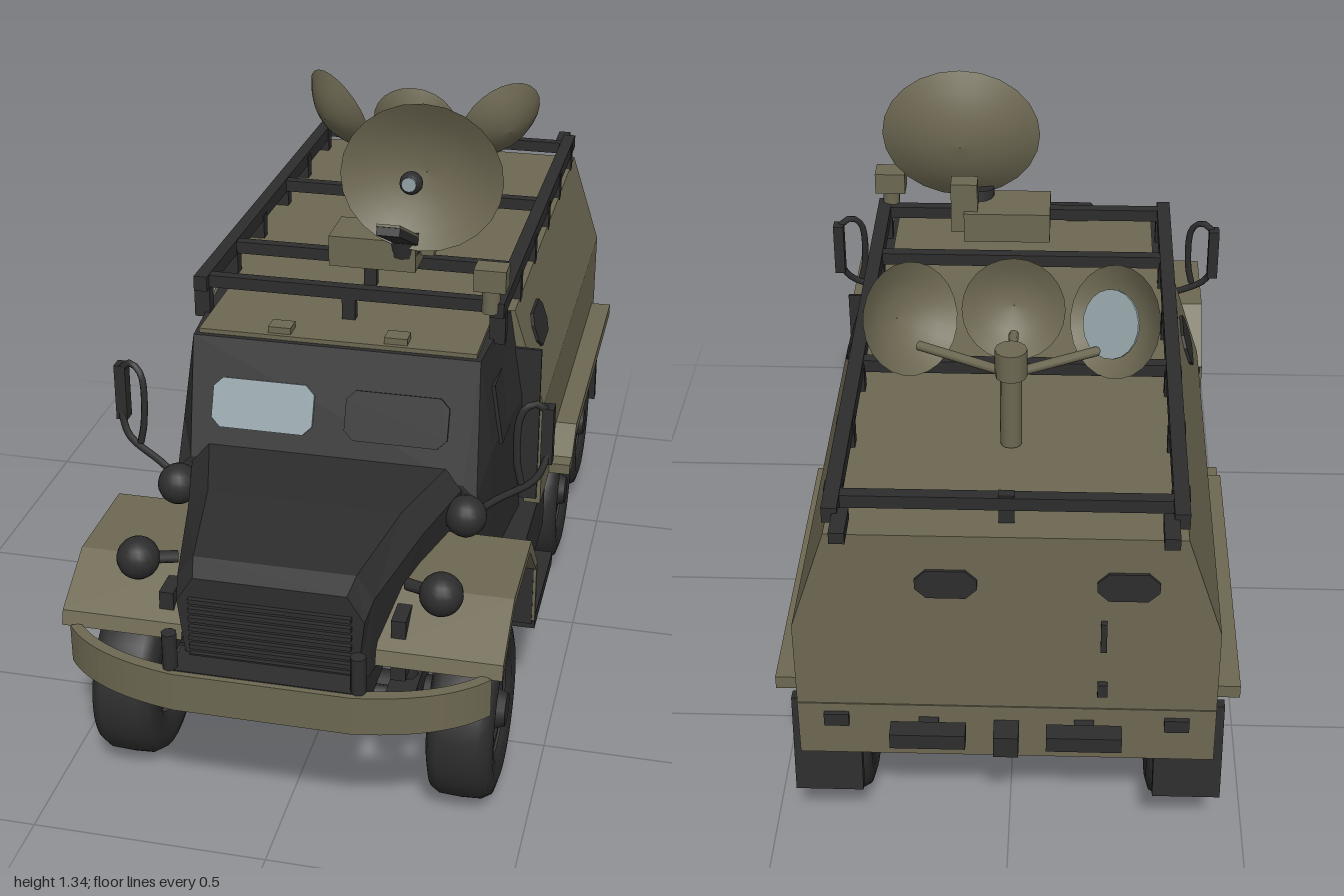
import * as THREE from 'three';

const mat = (name, color) => {
  const m = new THREE.MeshStandardMaterial({ color, side: THREE.DoubleSide });
  m.name = name;
  return m;
};

export function createModel() {
  const model = new THREE.Group();
  model.name = 'armouredTruck';
  const green = mat('olive', 0x6d6852);
  const dark = mat('charcoal', 0x2d2d2d);
  const glass = mat('paleGlass', 0x93a3a8);
  const V = (x, y, z) => new THREE.Vector3(x, y, z);

  const add = (name, geo, m, x = 0, y = 0, z = 0) => {
    const mesh = new THREE.Mesh(geo, m);
    mesh.name = name;
    mesh.position.set(x, y, z);
    model.add(mesh);
    return mesh;
  };
  const box = (name, m, w, h, d, x, y, z) => add(name, new THREE.BoxGeometry(w, h, d), m, x, y, z);
  // Straight bar between two points
  const rod = (name, m, a, b, r, sides = 8) => {
    const mesh = add(name, new THREE.CylinderGeometry(r, r, a.distanceTo(b), sides), m);
    mesh.position.copy(a).add(b).multiplyScalar(0.5);
    mesh.quaternion.setFromUnitVectors(V(0, 1, 0), b.clone().sub(a).normalize());
    return mesh;
  };
  const ball = (name, m, r, x, y, z) => add(name, new THREE.SphereGeometry(r, 16, 12), m, x, y, z);
  const tube = (name, m, pts, r) =>
    add(name, new THREE.TubeGeometry(new THREE.CatmullRomCurve3(pts), 14, r, 6), m);
  // Thin plate with cut corners, facing +z
  const plate = (name, m, w, h, x, y, z, c = 0.02) => {
    const a = w / 2, b = h / 2, s = new THREE.Shape();
    s.moveTo(c - a, -b).lineTo(a - c, -b).lineTo(a, c - b).lineTo(a, b - c)
      .lineTo(a - c, b).lineTo(c - a, b).lineTo(-a, b - c).lineTo(-a, c - b);
    return add(name, new THREE.ExtrudeGeometry(s, { depth: 0.007, bevelEnabled: false }), m, x, y, z);
  };

  // Hull through mirrored half sections, ordered from front to back
  const loft = (name, m, stations) => {
    const rings = stations.map(([z, half]) => [
      ...half.map(([x, y]) => [x, y, z]),
      ...half.slice().reverse().map(([x, y]) => [-x, y, z])]);
    const p = [], n = rings[0].length;
    const tri = (...c) => c.forEach(v => p.push(...v));
    for (let s = 0; s < rings.length - 1; s++) {
      for (let i = 0; i < n; i++) {
        const a = rings[s], b = rings[s + 1], j = (i + 1) % n;
        tri(a[i], b[i], b[j]);
        tri(a[i], b[j], a[j]);
      }
    }
    const f = rings[0], e = rings[rings.length - 1];
    for (let i = 1; i < n - 1; i++) {
      tri(f[0], f[i], f[i + 1]);
      tri(e[0], e[i + 1], e[i]);
    }
    const g = new THREE.BufferGeometry();
    g.setAttribute('position', new THREE.Float32BufferAttribute(p, 3));
    g.computeVertexNormals();
    return add(name, g, m);
  };
  // Side outline in (z, y), extruded between two x values
  const sideExtrude = (name, m, pts, [x0, x1]) => {
    const g = new THREE.ExtrudeGeometry(
      new THREE.Shape(pts.map(([z, y]) => new THREE.Vector2(z, y))), { depth: x1 - x0, bevelEnabled: false });
    g.rotateY(-Math.PI / 2).translate(x1, 0, 0);
    return add(name, g, m);
  };

  // Rear crew body with inward leaning upper sides
  const hull = [[0.418, 0.44], [0.418, 0.64], [0.345, 0.867]];
  loft('crewBody', green, [[0.1, hull], [-0.935, hull]]);
  box('bodyFloor', dark, 0.8, 0.02, 0.98, 0, 0.429, -0.4);
  box('rearApron', green, 0.836, 0.13, 0.025, 0, 0.38, -0.925);
  box('bodyFrontTrim', dark, 0.07, 0.38, 0.008, 0.375, 0.59, 0.104);

  // Cab, hood and grille
  loft('cab', dark, [
    [0.47, [[0.33, 0.36], [0.33, 0.59], [0.3, 0.62]]],
    [0.37, [[0.345, 0.36], [0.345, 0.66], [0.315, 0.865]]],
    [0.1, [[0.37, 0.36], [0.37, 0.66], [0.335, 0.868]]]]);
  box('cabRoof', green, 0.61, 0.01, 0.25, 0, 0.871, 0.235);
  loft('hood', dark, [
    [0.92, [[0.175, 0.42], [0.19, 0.55], [0.155, 0.605]]],
    [0.88, [[0.19, 0.4], [0.2, 0.58], [0.165, 0.63]]],
    [0.65, [[0.23, 0.4], [0.25, 0.6], [0.205, 0.645]]],
    [0.46, [[0.28, 0.4], [0.3, 0.61], [0.26, 0.65]]]]);
  for (let i = 0; i < 7; i++) box('grilleSlat', dark, 0.33, 0.01, 0.016, 0, 0.43 + i * 0.021, 0.922);
  for (const [x, m] of [[-0.147, glass], [0.147, dark]]) {
    plate('windshieldPane', m, 0.224, 0.108, x, 0.736, 0.423).rotation.x = -0.388;
    box('roofHatch', green, 0.05, 0.025, 0.04, x * 0.87, 0.878, 0.33);
  }

  // Curved front bumper
  const bump = new THREE.Shape();
  bump.moveTo(-0.435, -0.88).quadraticCurveTo(-0.36, -0.975, -0.18, -1).lineTo(0.18, -1)
    .quadraticCurveTo(0.36, -0.975, 0.435, -0.88).lineTo(0.415, -0.87)
    .quadraticCurveTo(0.34, -0.955, 0.18, -0.975).lineTo(-0.18, -0.975)
    .quadraticCurveTo(-0.34, -0.955, -0.415, -0.87);
  add('frontBumper', new THREE.ExtrudeGeometry(bump, { depth: 0.085, bevelEnabled: false })
    .rotateX(-Math.PI / 2), green, 0, 0.345, 0);
  box('bumperBracket', dark, 0.38, 0.08, 0.085, 0, 0.392, 0.945);

  // Wheel with lathed tyre, sunken rim and hub
  const tyre = new THREE.LatheGeometry([[0.1, -0.055], [0.115, -0.066], [0.15, -0.07], [0.178, -0.062],
    [0.19, -0.042], [0.192, 0], [0.19, 0.042], [0.178, 0.062], [0.15, 0.07], [0.115, 0.066], [0.1, 0.055]]
    .map(([r, y]) => new THREE.Vector2(r, y)), 32);
  const wheel = (s, y, z, k) => {
    const w = new THREE.Group();
    w.name = 'wheel';
    const part = (name, g, h = 0) => {
      const mesh = new THREE.Mesh(g, dark);
      mesh.name = name;
      mesh.position.y = h;
      w.add(mesh);
      return mesh;
    };
    part('tyre', tyre);
    part('rim', new THREE.CylinderGeometry(0.102, 0.102, 0.08, 24));
    part('rimRing', new THREE.TorusGeometry(0.085, 0.012, 6, 24), -0.042).rotation.x = Math.PI / 2;
    part('hub', new THREE.CylinderGeometry(0.05, 0.035, 0.04, 12), -0.055);
    w.rotation.z = s * Math.PI / 2;
    w.position.set(s * 0.36, y, z);
    w.scale.set(k, 1, k);
    model.add(w);
  };

  // Running gear
  const axles = [[0.195, 0.648, 1], [0.205, -0.292, 0.935], [0.205, -0.677, 0.935]];
  for (const [y, z] of axles) {
    rod('axle', dark, V(-0.33, y + 0.02, z), V(0.33, y + 0.02, z), 0.036, 12);
    ball('differential', dark, 0.072, 0, y + 0.015, z);
  }
  rod('driveShaft', dark, V(0, 0.23, 0.6), V(0, 0.23, -0.67), 0.02);
  rod('steeringRod', dark, V(-0.28, 0.27, 0.75), V(0.28, 0.27, 0.75), 0.018);
  box('gearbox', dark, 0.2, 0.14, 0.36, 0, 0.34, 0.36);
  box('engineSump', dark, 0.3, 0.12, 0.36, 0, 0.35, 0.7);
  for (const z of [0.86, 0.1, -0.48, -0.86]) box('crossMember', dark, 0.34, 0.06, 0.04, 0, 0.36, z);

  for (const s of [-1, 1]) {
    for (const [y, z, k] of axles) wheel(s, y, z, k);
    const xs = (a, b) => (s > 0 ? [a, b] : [-b, -a]);

    // Chassis rails, springs and dampers
    box('chassisRail', dark, 0.05, 0.08, 1.82, s * 0.16, 0.36, 0.02);
    for (const [y, z] of axles) {
      box('leafSpring', dark, 0.06, 0.05, 0.3, s * 0.23, y + 0.07, z);
      rod('damper', dark, V(s * 0.25, y, z + 0.04), V(s * 0.2, 0.4, z + 0.06), 0.026);
    }

    // Front fender with a narrow rear leg and dark liner
    sideExtrude('frontFender', green, [[0.875, 0.425], [0.865, 0.455], [0.74, 0.53], [0.51, 0.53], [0.395, 0.41],
      [0.412, 0.4], [0.522, 0.508], [0.73, 0.508], [0.85, 0.435]], xs(0.2, 0.455));
    box('fenderLeg', green, 0.006, 0.14, 0.016, s * 0.453, 0.338, 0.404);
    box('wheelWellLiner', dark, 0.26, 0.15, 0.012, s * 0.32, 0.335, 0.408);
    box('innerWing', dark, 0.03, 0.14, 0.44, s * 0.24, 0.44, 0.62);
    // Step and storage box
    box('step', dark, 0.2, 0.03, 0.28, s * 0.355, 0.255, 0.26);
    box('storageBox', dark, 0.21, 0.13, 0.44, s * 0.305, 0.31, 0.17);
    // Skirt and rear wheel arch trim
    sideExtrude('bodySkirt', green,
      [[0.1, 0.385], [-0.1, 0.385], [-0.165, 0.45], [0.1, 0.45]], xs(0.38, 0.419));
    sideExtrude('rearArch', green, [[-0.05, 0.385], [-0.1, 0.385], [-0.17, 0.436], [-0.885, 0.436],
      [-0.885, 0.465], [-0.16, 0.465], [-0.09, 0.41], [-0.05, 0.41]], xs(0.39, 0.468));
    box('mudFlap', dark, 0.14, 0.23, 0.025, s * 0.37, 0.29, -0.88).rotation.x = 0.1;

    // Door window and side port
    const win = box('doorWindow', dark, 0.008, 0.14, 0.1, s * 0.345, 0.715, 0.265);
    win.rotation.z = s * 0.15;
    box('doorHandle', dark, 0.015, 0.015, 0.05, s * 0.365, 0.6, 0.15);
    const port = plate('sidePort', dark, 0.132, 0.082, s * 0.377, 0.77, -0.062, 0.022);
    port.rotation.set(-0.32, s * Math.PI / 2, 0, 'YXZ');

    // Lamps
    for (const [z, y] of [[0.515, 0.575], [0.785, 0.55]]) {
      ball('headlamp', dark, 0.045, s * 0.315, y, z);
      rod('lampStalk', dark, V(s * 0.31, y, z), V(s * 0.24, 0.545, z - 0.03), 0.013);
    }
    rod('towHook', dark, V(s * 0.19, 0.42, 0.975), V(s * 0.19, 0.51, 0.975), 0.016);

    // Mirror on bent arms
    box('mirror', dark, 0.025, 0.13, 0.03, s * 0.468, 0.735, 0.415);
    tube('mirrorArm', dark, [V(s * 0.3, 0.54, 0.48), V(s * 0.37, 0.59, 0.46), V(s * 0.45, 0.64, 0.44), V(s * 0.473, 0.7, 0.42)], 0.008);
    tube('mirrorLoop', dark, [V(s * 0.47, 0.79, 0.42), V(s * 0.44, 0.81, 0.43), V(s * 0.415, 0.79, 0.44), V(s * 0.41, 0.68, 0.45), V(s * 0.42, 0.63, 0.45)], 0.008);

    // Roof rack side
    box('rackRail', dark, 0.03, 0.034, 1.2, s * 0.33, 0.924, -0.335).rotation.x = -0.022;
    box('railEnd', dark, 0.03, 0.025, 0.08, s * 0.31, 0.903, -0.955);
    for (const z of [0.24, 0.02, -0.205, -0.43, -0.635, -0.855])
      box('rackPost', dark, 0.035, 0.07, 0.03, s * 0.33, 0.89, z);

    // Rear bumperettes and lamps
    box('rearBumperette', dark, 0.15, 0.035, 0.04, s * 0.155, 0.4, -0.975);
    box('bumperetteArm', dark, 0.04, 0.03, 0.06, s * 0.155, 0.4, -0.945);
    box('rearLamp', dark, 0.05, 0.03, 0.015, s * 0.34, 0.41, -0.94);
  }
  for (const x of [0.115, -0.235]) plate('rearPort', dark, 0.12, 0.065, x, 0.755, -0.941, 0.022);
  box('rearDoorHandle', dark, 0.012, 0.07, 0.02, -0.19, 0.635, -0.938);
  box('rearDoorLatch', dark, 0.02, 0.03, 0.02, -0.19, 0.5, -0.938);
  box('towCoupling', dark, 0.05, 0.05, 0.07, 0, 0.385, -0.955);
  for (const [z, y] of [[0.235, 0.938], [0.02, 0.932], [-0.42, 0.922], [-0.88, 0.912]]) {
    box('rackCrossbar', dark, 0.68, 0.028, 0.025, 0, y, z);
    box('crossbarPost', dark, 0.03, 0.07, 0.02, 0, 0.895, z);
  }

  // Shallow antenna dish; the rim is centred on the given point
  const dish = (name, r, depth, at, dir) => {
    const pts = [0, 0.25, 0.5, 0.75, 1].map(t => new THREE.Vector2(Math.max(t * r, 0.001), depth * (t * t - 1)));
    const d = add(name, new THREE.LatheGeometry(pts, 24), green);
    d.position.copy(at);
    d.quaternion.setFromUnitVectors(V(0, 1, 0), dir.normalize());
    return d;
  };

  // Front dish station
  dish('frontDish', 0.163, 0.06, V(0.14, 1.18, 0.15), V(0, 0.1, 1)).scale.x = 1.1;
  ball('feedHorn', dark, 0.025, 0.135, 1.2, 0.235);
  add('feedLens', new THREE.CylinderGeometry(0.016, 0.016, 0.006, 12), glass, 0.135, 1.205, 0.259).rotation.x = Math.PI / 2;
  box('dishBase', green, 0.195, 0.07, 0.12, 0.033, 0.998, 0.1);
  box('dishMount', green, 0.06, 0.12, 0.045, 0.13, 1.04, 0.075);
  rod('dishPivot', dark, V(0.1, 1.0, 0.13), V(0.1, 1.05, 0.14), 0.035, 12);
  box('dishBoom', dark, 0.05, 0.018, 0.22, 0.11, 1.083, 0.25).rotation.x = -0.46;
  box('boomCover', green, 0.05, 0.006, 0.22, 0.11, 1.096, 0.25).rotation.x = -0.46;

  // Small sensor on the front corner of the rack
  rod('sensorPost', green, V(0.315, 0.93, 0.255), V(0.315, 1.0, 0.255), 0.02, 10);
  box('sensorHead', green, 0.07, 0.05, 0.055, 0.315, 1.01, 0.255);

  // Rear antenna cluster, dishes turned in towards the mast
  rod('clusterMast', green, V(0, 0.87, -0.625), V(0, 1.03, -0.625), 0.022, 12);
  rod('clusterHead', green, V(0, 1.03, -0.625), V(0, 1.09, -0.625), 0.032, 12);
  for (const s of [-1, 1]) {
    dish('sideDish', 0.114, 0.05, V(s * 0.203, 1.095, -0.525), V(-s * 0.65, 0.4, -0.7));
    rod('dishArm', green, V(0, 1.03, -0.62), V(s * 0.19, 1.03, -0.52), 0.01);
  }
  dish('centreDish', 0.105, 0.045, V(0, 1.09, -0.475), V(0, 0.35, -1));
  rod('dishArm', green, V(0, 1.03, -0.62), V(0, 1.03, -0.47), 0.01);
  const lens = add('dishLens', new THREE.CylinderGeometry(0.07, 0.07, 0.005, 20), glass, -0.196, 1.088, -0.522);
  lens.quaternion.setFromUnitVectors(V(0, 1, 0), V(0.65, 0.4, -0.7).normalize());

  return model;
}
